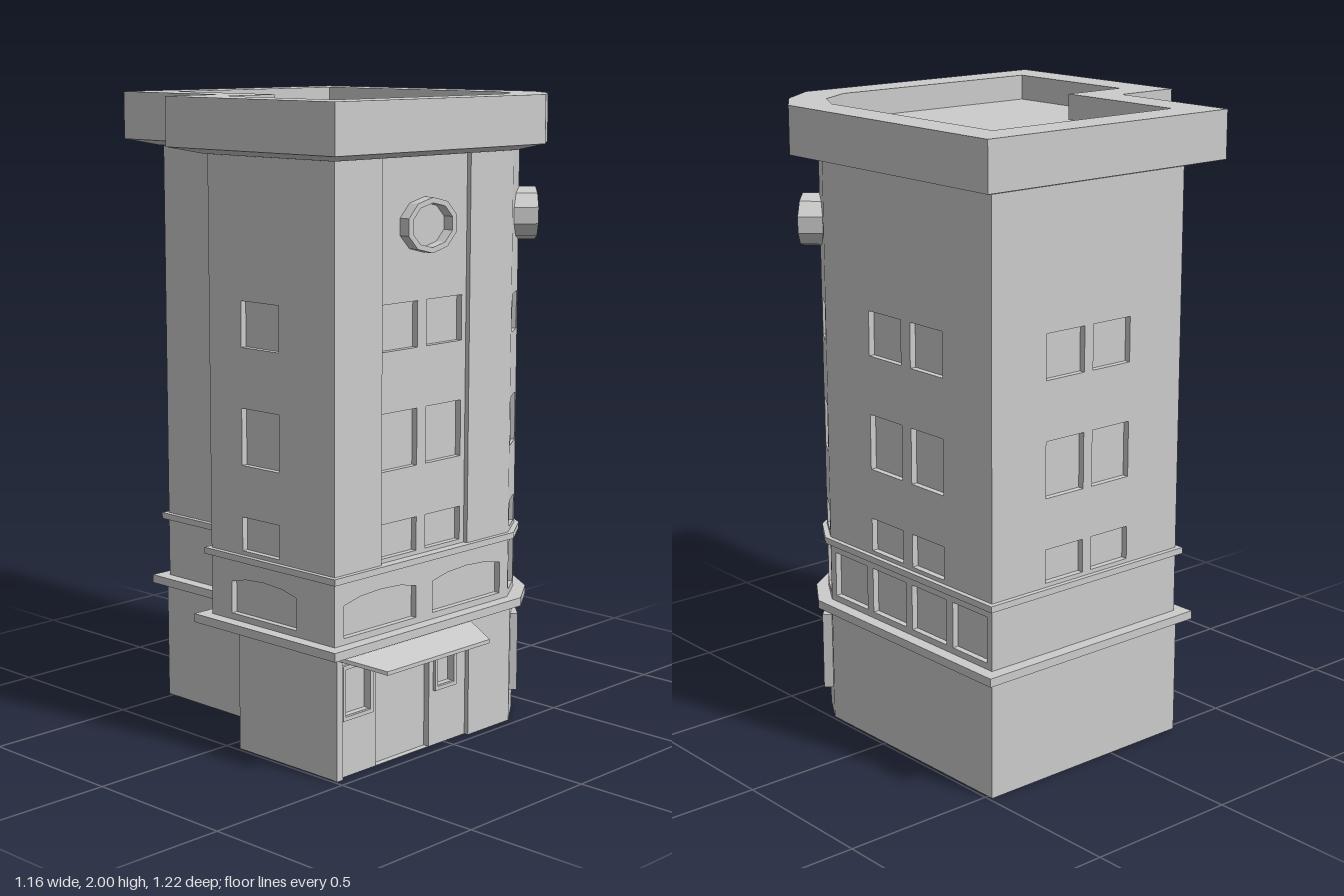
import * as THREE from 'three';

const mat = new THREE.MeshStandardMaterial({ color: 0xcccccc, flatShading: true, side: THREE.DoubleSide });
const DEPTH = 0.022;

// Plan outline [x, z], counterclockwise from the front left corner, grown by o
const plan = (o) => [
  [-0.49 - o, 0.46 + o], [0.30 + 0.5 * o, 0.46 + o], [0.42 + 0.7 * o, 0.385 + 0.7 * o],
  [0.49 + o, 0.27 + 0.5 * o], [0.49 + o, -0.52 - o], [-0.27 - o, -0.52 - o],
  [-0.27 - o, -0.07 - o], [-0.49 - o, -0.07 - o],
];

const polygon = (pts) => new THREE.Shape(pts.map(([x, y]) => new THREE.Vector2(x, y)));
const rect = (u0, u1, v0, v1) => [[u0, v0], [u1, v0], [u1, v1], [u0, v1]];
const arched = (u0, u1, v0, v1) => {
  const w = u1 - u0;
  return [[u0, v0], [u1, v0], [u1, v1 - 0.02], [u1 - w * 0.22, v1 - 0.005], [u0 + w / 2, v1],
    [u0 + w * 0.22, v1 - 0.005], [u0, v1 - 0.02]];
};
const ellipse = (rx, ry, n = 10) => Array.from({ length: n }, (_, i) => {
  const a = (i + 0.5) / n * Math.PI * 2;
  return [rx * Math.cos(a), ry * Math.sin(a)];
});

function add(parent, name, geometry, x = 0, y = 0, z = 0) {
  const mesh = new THREE.Mesh(geometry, mat);
  mesh.name = name;
  mesh.position.set(x, y, z);
  parent.add(mesh);
  return mesh;
}

// Upright wall from a to b, with recessed windows given in wall coordinates
function wall(parent, name, a, b, y0, y1, windows = []) {
  const g = new THREE.Group();
  g.name = name;
  const dx = b[0] - a[0], dz = b[1] - a[1];
  g.position.set(a[0], 0, a[1]);
  g.rotation.y = Math.atan2(-dz, dx);
  const shape = polygon(rect(0, Math.hypot(dx, dz), y0, y1));
  windows.forEach((w) => {
    shape.holes.push(new THREE.Path(w.map(([u, v]) => new THREE.Vector2(u, v))));
    add(g, 'windowPane', new THREE.ShapeGeometry(polygon(w)), 0, 0, -DEPTH + 0.002);
  });
  add(g, 'wallPanel', new THREE.ExtrudeGeometry(shape, { depth: DEPTH, bevelEnabled: false }), 0, 0, -DEPTH);
  parent.add(g);
}

// One storey: closed run of walls, windows keyed by wall index
function storey(parent, name, pts, y0, y1, windows) {
  const g = new THREE.Group();
  g.name = name;
  pts.forEach((p, i) => wall(g, name + 'Wall', p, pts[(i + 1) % pts.length], y0, y1, windows[i]));
  parent.add(g);
}

// Skin through plan outlines, given as [overhang, height] rings
function loft(rings) {
  const pos = [];
  const pt = ([o, y], i) => { const p = plan(o); const q = p[i % p.length]; return [q[0], y, q[1]]; };
  for (let r = 0; r < rings.length - 1; r++) {
    for (let i = 0; i < 8; i++) {
      const a = pt(rings[r], i), b = pt(rings[r], i + 1);
      const c = pt(rings[r + 1], i + 1), d = pt(rings[r + 1], i);
      pos.push(...a, ...b, ...c, ...a, ...c, ...d);
    }
  }
  const geo = new THREE.BufferGeometry();
  geo.setAttribute('position', new THREE.Float32BufferAttribute(pos, 3));
  geo.computeVertexNormals();
  return geo;
}

// Projecting frame with an opening
function frame(parent, name, outer, inner, depth, x, y, z, turn = 0) {
  const shape = polygon(outer);
  shape.holes.push(new THREE.Path(inner.map(([u, v]) => new THREE.Vector2(u, v))));
  const mesh = add(parent, name, new THREE.ExtrudeGeometry(shape, { depth, bevelEnabled: false }), x, y, z);
  mesh.rotation.y = turn;
}

export function createModel() {
  const model = new THREE.Group();
  model.name = 'cornerBuilding';
  const P = plan(0);

  // Upper floors with a shallow recessed bay on the front
  const rows = [[0.635, 0.74], [0.90, 1.075], [1.26, 1.40]];
  const columns = (...spans) => spans.flatMap(([u0, u1]) => rows.map(([v0, v1]) => rect(u0, u1, v0, v1)));
  const corner = () => rows.map(([v0, v1]) => rect(0.02, 0.118, v0, v1 - 0.02));
  const upper = [P[0], [-0.29, 0.46], [-0.29, 0.445], [0.10, 0.445], [0.10, 0.46], ...P.slice(1)];
  storey(model, 'upperFloor', upper, 0.61, 1.84, {
    2: columns([0.015, 0.17], [0.21, 0.37]),
    5: corner(),
    6: corner(),
    7: columns([0.22, 0.375], [0.42, 0.57]),
    8: columns([0.21, 0.36], [0.395, 0.545]),
    9: columns([0.21, 0.36]),
    11: columns([0.14, 0.30]),
  });

  // Mezzanine with arched front windows and a strip of side windows
  storey(model, 'mezzanine', P, 0.395, 0.61, {
    0: [arched(0.04, 0.355, 0.43, 0.55), arched(0.43, 0.75, 0.43, 0.55)],
    1: [rect(0.015, 0.122, 0.43, 0.585)],
    2: [rect(0.015, 0.122, 0.43, 0.585)],
    3: [0, 1, 2, 3].map((i) => rect(0.025 + i * 0.195, 0.19 + i * 0.195, 0.43, 0.575)),
    7: [arched(0.09, 0.37, 0.43, 0.55)],
  });

  // Ground floor with a recessed shop front
  const ground = [
    [-0.49, 0.472], [-0.47, 0.472], [-0.47, 0.457], [0.10, 0.457], [0.10, 0.472], [0.30, 0.472],
    ...P.slice(2, 5), [-0.28, -0.52], [-0.28, 0.05], [-0.49, 0.05],
  ];
  storey(model, 'groundFloor', ground, 0, 0.395, {
    2: [rect(0.16, 0.40, 0.001, 0.345), rect(0.02, 0.13, 0.19, 0.345), rect(0.43, 0.51, 0.19, 0.345)],
  });
  [[-0.395, 0.065], [0, 0.05]].forEach(([x, h]) => {
    frame(model, 'shopWindowFrame', rect(-h, h, -0.085, 0.085),
      rect(-h + 0.012, h - 0.012, -0.073, 0.073), 0.01, x, 0.262, 0.456);
  });
  add(model, 'notchSoffit', new THREE.BoxGeometry(0.22, 0.01, 0.14), -0.38, 0.392, 0);

  // Canopy: tapering thin slab, from wall to outer edge
  const canopy = new THREE.BoxGeometry(1, 0.012, 0.15);
  const cp = canopy.attributes.position;
  for (let i = 0; i < cp.count; i++) {
    const outer = cp.getZ(i) > 0;
    cp.setX(i, cp.getX(i) * (outer ? 0.46 : 0.59));
    cp.setY(i, cp.getY(i) + (outer ? -0.014 : 0.014));
  }
  canopy.computeVertexNormals();
  add(model, 'canopy', canopy, -0.193, 0.363, 0.535);

  // Ledges around both floor lines
  [['lowerLedge', 0.04, 0.383, 0.41], ['upperLedge', 0.016, 0.602, 0.622]].forEach(([name, o, y0, y1]) => {
    add(model, name, loft([[-0.02, y0], [o, y0], [o, y1], [-0.02, y1]]));
  });

  // Roof cornice with sunken deck
  add(model, 'cornice', loft([[-0.01, 1.828], [0.01, 1.83], [0.088, 1.85], [0.088, 2], [-0.03, 2], [-0.03, 1.92]]));
  const deck = new THREE.ShapeGeometry(polygon(plan(-0.03).map(([x, z]) => [x, -z])));
  deck.rotateX(-Math.PI / 2);
  add(model, 'roofDeck', deck, 0, 1.92, 0);

  // Oval window frames on the front and the corner
  frame(model, 'frontOvalFrame', ellipse(0.112, 0.083), ellipse(0.092, 0.066), 0.045, -0.093, 1.625, 0.435);
  frame(model, 'cornerOvalFrame', ellipse(0.112, 0.083), ellipse(0.09, 0.066), 0.09, 0.393, 1.625, 0.358, Math.PI / 4);

  // Display window frame on the ground floor corner
  frame(model, 'cornerWindowFrame', rect(-0.112, 0.112, -0.127, 0.127),
    rect(-0.09, 0.09, -0.108, 0.108), 0.07, 0.37, 0.22, 0.343, Math.PI / 4);

  return model;
}
